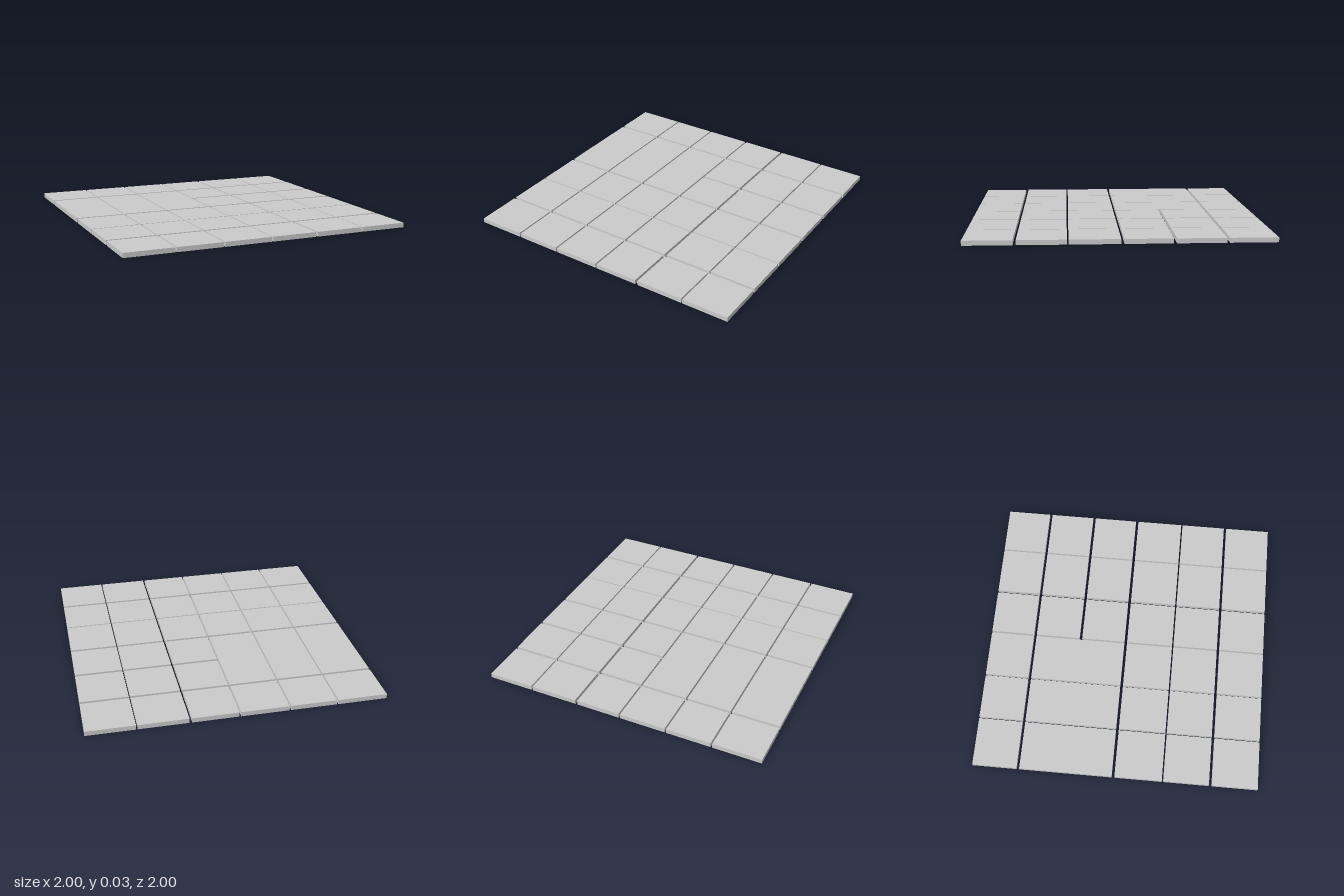
import * as THREE from 'three';

// Start and end of each column (x) and row (z) of slabs
const COLS = [[-1, -0.664], [-0.653, -0.342], [-0.331, -0.007], [0.004, 0.315], [0.331, 0.664], [0.674, 1]];
const ROWS = [[-1, -0.688], [-0.669, -0.351], [-0.332, -0.019], [0, 0.332], [0.342, 0.661], [0.68, 1]];
const THICKNESS = 0.032;

export function createModel() {
  const group = new THREE.Group();
  group.name = 'pavingSlabs';
  const material = new THREE.MeshStandardMaterial({ color: 0xcccccc, flatShading: true });

  function addSlab(name, [x0, x1], z0, z1) {
    const slab = new THREE.Mesh(new THREE.BoxGeometry(x1 - x0, THICKNESS, z1 - z0), material);
    slab.position.set((x0 + x1) / 2, THICKNESS / 2, (z0 + z1) / 2);
    slab.name = name;
    group.add(slab);
  }

  COLS.forEach((col, c) => {
    for (let r = 0; r < ROWS.length; r++) {
      // The three right-hand columns have one long slab spanning two rows
      const long = c < 3 && r === 1;
      const last = long ? r + 1 : r;
      addSlab(long ? 'longSlab' : 'slab', col, ROWS[r][0], ROWS[last][1]);
      r = last;
    }
  });
  return group;
}
